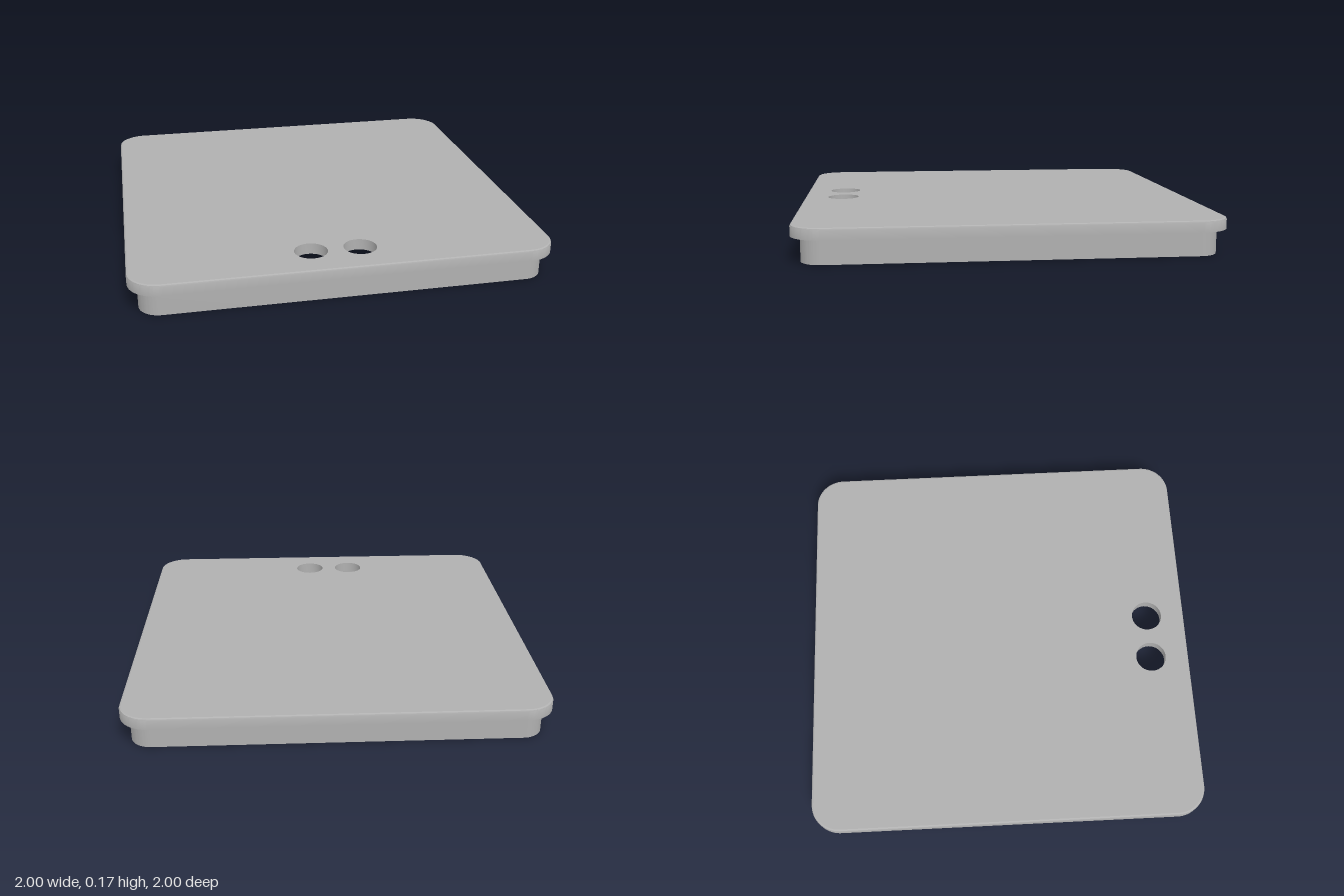
import * as THREE from 'three';
import { toCreasedNormals } from 'three/addons/utils/BufferGeometryUtils.js';

// Rounded square outline, half-size h and corner radius r
function outline(h, r, Kind = THREE.Shape) {
  const s = new Kind();
  const c = h - r;
  s.absarc(c, c, r, 0, Math.PI / 2);
  s.absarc(-c, c, r, Math.PI / 2, Math.PI);
  s.absarc(-c, -c, r, Math.PI, Math.PI * 1.5);
  s.absarc(c, -c, r, Math.PI * 1.5, Math.PI * 2);
  s.closePath();
  return s;
}

// Upright slab of a plan shape between heights y0 and y1
function slab(shape, y0, y1) {
  const g = new THREE.ExtrudeGeometry(shape, { depth: y1 - y0, bevelEnabled: false, curveSegments: 16 });
  g.rotateX(-Math.PI / 2).translate(0, y0, 0);
  return toCreasedNormals(g, 0.5);
}

// Outer skin joining rounded-square loops given as [inset, y], bottom to top
function edgeBand(half, radius, loops) {
  const pos = [], idx = [];
  const rings = loops.map(([inset]) => outline(half - inset, radius - inset).getPoints(16));
  const n = rings[0].length;
  rings.forEach((ring, k) => ring.forEach(p => pos.push(p.x, loops[k][1], -p.y)));
  for (let k = 0; k < rings.length - 1; k++) {
    for (let i = 0; i < n; i++) {
      const a = k * n + i, b = k * n + (i + 1) % n;
      idx.push(a, b, b + n, a, b + n, a + n);
    }
  }
  const g = new THREE.BufferGeometry();
  g.setAttribute('position', new THREE.Float32BufferAttribute(pos, 3));
  g.setIndex(idx);
  return toCreasedNormals(g, 0.5);
}

export function createModel() {
  const group = new THREE.Group();
  const grey = new THREE.MeshStandardMaterial({ color: 0xb0b0b0 });
  grey.name = 'grey';
  const add = (name, geometry) => {
    const mesh = new THREE.Mesh(geometry, grey);
    mesh.name = name;
    group.add(mesh);
  };
  const base = 0.118, top = 0.172, bevel = 0.01, radius = 0.145;

  // Lid plate with two round holes near the front
  const plate = outline(1 - bevel, radius - bevel);
  for (const x of [-0.153, 0.082]) {
    plate.holes.push(new THREE.Path().absarc(x, -0.8, 0.079, 0, Math.PI * 2, true));
  }
  add('lidPlate', slab(plate, base, top));

  // Softened outer edge of the lid and the narrow strip beneath it
  add('lidEdge', edgeBand(1, radius, [
    [bevel, base], [0, base], [0, top - bevel], [bevel * 0.3, top - bevel * 0.3], [bevel, top],
  ]));

  // Hollow rim that fits inside the box
  const rim = outline(0.956, 0.1);
  rim.holes.push(outline(0.906, 0.055, THREE.Path));
  add('innerRim', slab(rim, 0, base));

  return group;
}
